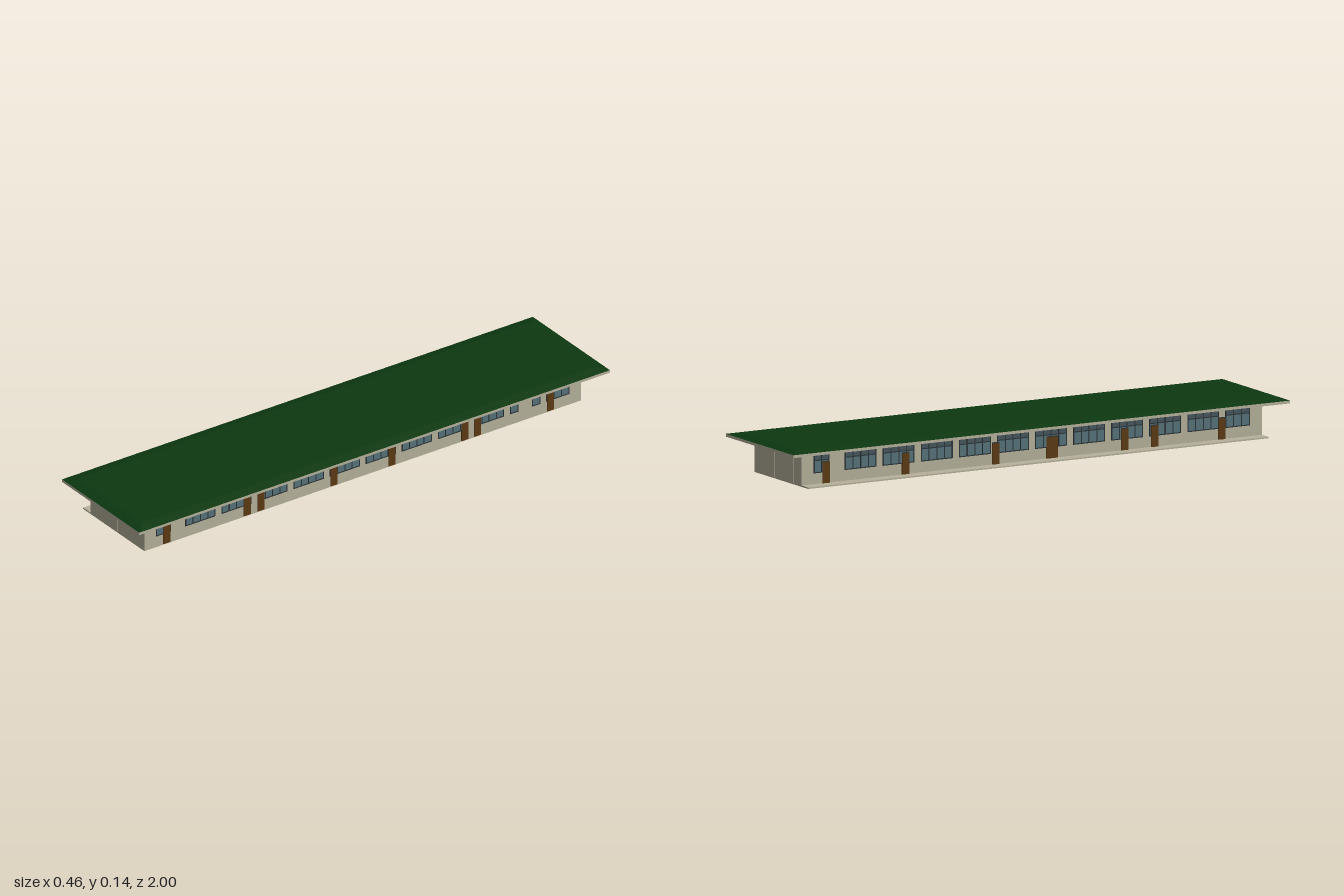
import * as THREE from 'three';

const mat = (name, color) => {
  const m = new THREE.MeshStandardMaterial({ color });
  m.name = name;
  return m;
};

export function createModel() {
  const model = new THREE.Group();
  model.name = 'longBuilding';
  const wall = mat('wallBeige', 0xb7b29c);
  const green = mat('roofGreen', 0x0d3810);
  const glass = mat('windowGlass', 0x56737a);
  const transom = mat('transomGlass', 0x46565e);
  const frame = mat('windowFrame', 0x2c3438);
  const wood = mat('doorBrown', 0x5c3a12);
  const dark = mat('ventDark', 0x1c1c1a);
  const sign = mat('signGrey', 0x8c7c78);

  // Box given by its two opposite corners
  const box = (parent, name, material, [x0, y0, z0], [x1, y1, z1]) => {
    const mesh = new THREE.Mesh(new THREE.BoxGeometry(x1 - x0, y1 - y0, z1 - z0), material);
    mesh.position.set((x0 + x1) / 2, (y0 + y1) / 2, (z0 + z1) / 2);
    mesh.name = name;
    parent.add(mesh);
    return mesh;
  };

  // Walls, walkway and eaves
  const XL = 0.16, XR = -0.163, ZF = 0.927, EAVE = 0.12;
  box(model, 'walls', wall, [XR, 0, -ZF], [XL, EAVE, ZF]);
  box(model, 'walkway', wall, [-0.208, 0, -ZF], [XR, 0.005, ZF]);
  box(model, 'eaves', wall, [-0.232, EAVE, -1], [0.232, 0.13, 1]);

  // Roof: a box whose top edges are drawn inward
  const roof = box(model, 'roof', green, [-0.232, 0.13, -1], [0.232, 0.138, 1]);
  const p = roof.geometry.attributes.position;
  for (let i = 0; i < p.count; i++) {
    if (p.getY(i) > 0) {
      p.setX(i, p.getX(i) - Math.sign(p.getX(i)) * 0.038);
      p.setZ(i, p.getZ(i) - Math.sign(p.getZ(i)) * 0.038);
    }
  }
  roof.geometry.computeVertexNormals();

  // Dark vent strip in the soffit around the walls
  const V = 0.014, y0 = EAVE - 0.001;
  box(model, 'soffitVent', dark, [XL, y0, -ZF - V], [XL + V, EAVE, ZF + V]);
  box(model, 'soffitVent', dark, [XR - V, y0, -ZF - V], [XR, EAVE, ZF + V]);
  for (const s of [-1, 1]) {
    const a = s * ZF, b = s * (ZF + V);
    box(model, 'soffitVent', dark, [XR, y0, Math.min(a, b)], [XL, EAVE, Math.max(a, b)]);
  }

  // Plain panels on both end walls
  for (const s of [-1, 1]) {
    for (const [a, b] of [[-0.109, -0.003], [0.023, 0.122]]) {
      const z = s * (ZF + 0.0005);
      box(model, 'endPanel', wall, [a, 0.005, z - 0.001], [b, 0.112, z + 0.001]);
    }
  }

  // Side facades are drawn in local space: x along the wall, z outward
  const WB = 0.045, WT = 0.111, SPLIT = 0.088;
  const window_ = (parent, a, b) => {
    const g = new THREE.Group();
    g.name = 'window';
    parent.add(g);
    box(g, 'glass', glass, [a, WB, 0], [b, SPLIT, 0.001]);
    box(g, 'transomGlass', transom, [a, SPLIT, 0], [b, WT, 0.001]);
    const n = Math.max(2, Math.round((b - a) / 0.031)), t = 0.0018;
    for (let i = 0; i <= n; i++) {
      const x = a + (b - a) * i / n;
      box(g, 'mullion', frame, [x - t, WB, 0], [x + t, WT, 0.002]);
    }
    for (const y of [WB, SPLIT, WT]) {
      box(g, 'rail', frame, [a - t, y - t, 0], [b + t, y + t, 0.002]);
    }
  };

  const facade = (name, x, turn, doors, doorWidth) => {
    const f = new THREE.Group();
    f.name = name;
    f.position.x = x;
    f.rotation.y = turn;
    model.add(f);
    window_(f, -0.877, -0.818);
    for (let i = 0; i < 10; i++) {
      const c = -0.69 + i * 0.1533;
      window_(f, c - 0.062, c + 0.062);
    }
    window_(f, 0.78, 0.875);
    for (const d of doors) {
      const w = doorWidth(d) / 2;
      box(f, 'door', wood, [d - w, 0.004, 0], [d + w, 0.08, 0.004]);
      box(f, 'doorHead', frame, [d - w, 0.08, 0], [d + w, 0.083, 0.0035]);
    }
    return f;
  };

  const left = facade('leftFacade', XL, Math.PI / 2,
    [-0.834, -0.492, -0.433, -0.123, 0.123, 0.433, 0.487, 0.797], () => 0.028);
  // Solid wall infill below one window, and a small sign
  box(left, 'windowInfill', wall, [0.66, 0.04, 0], [0.718, 0.08, 0.003]);
  box(left, 'smallSign', sign, [0.888, 0.085, 0], [0.903, 0.1, 0.002]);

  facade('rightFacade', XR, -Math.PI / 2,
    [-0.83, -0.51, -0.147, 0.08, 0.373, 0.494, 0.764], d => (d === 0.08 ? 0.045 : 0.028));

  return model;
}
